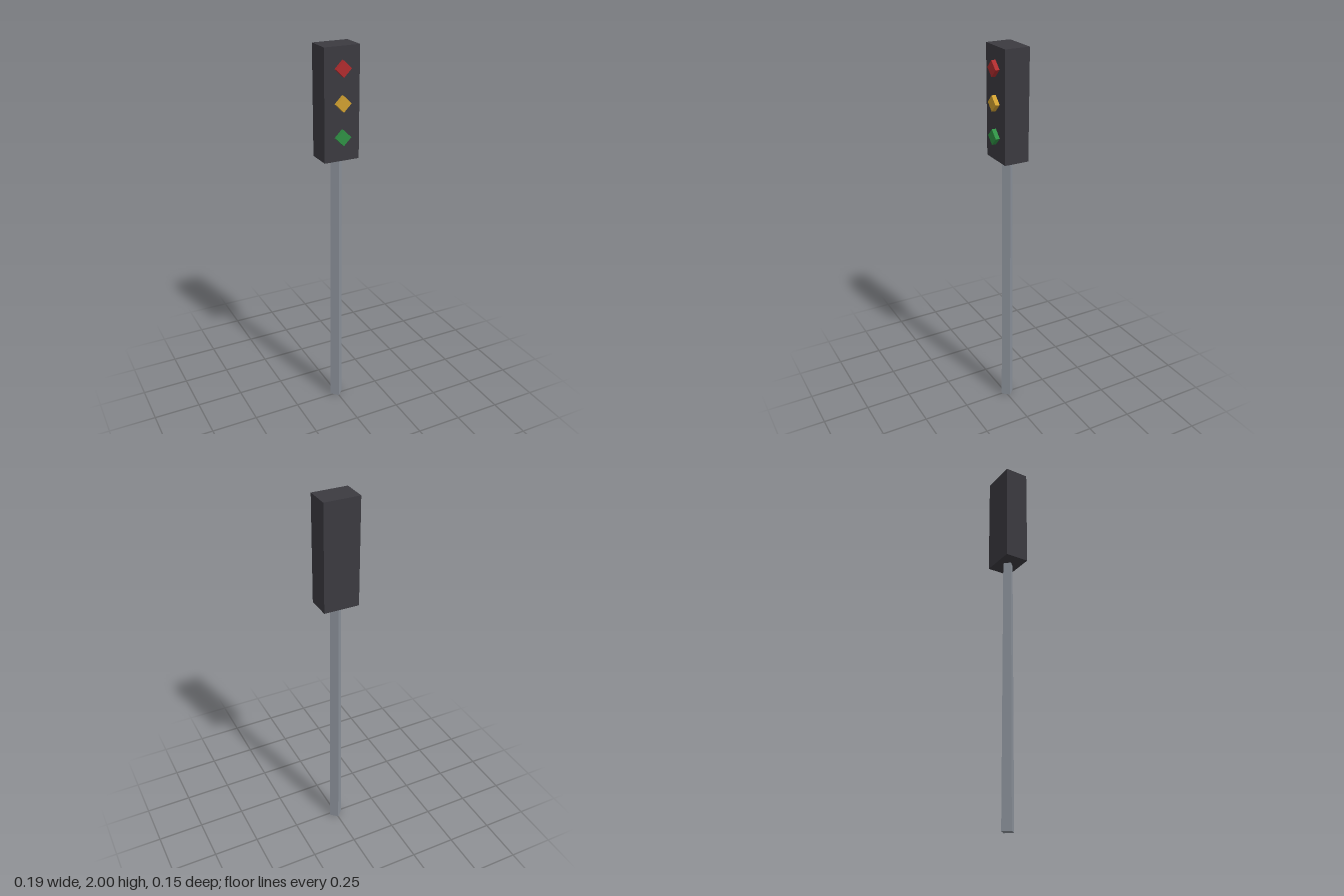
import * as THREE from 'three';

export function createModel() {
  const group = new THREE.Group();
  const paint = (name, color) => {
    const m = new THREE.MeshStandardMaterial({ color, flatShading: true });
    m.name = name;
    return m;
  };
  const add = (name, geometry, material, x, y, z) => {
    const mesh = new THREE.Mesh(geometry, material);
    mesh.name = name;
    mesh.position.set(x, y, z);
    group.add(mesh);
    return mesh;
  };
  const axisZ = -0.011;

  // Four-sided pole, tapering slightly upward, corners on the axes
  add('pole', new THREE.CylinderGeometry(0.03, 0.036, 1.44, 4), paint('steel grey', 0x8c929b), 0, 0.72, axisZ);

  // Signal housing
  add('housing', new THREE.BoxGeometry(0.187, 0.56, 0.13), paint('charcoal', 0x3b3a40), 0, 1.72, -0.012);

  // Diamond lamps standing proud of the front face
  const lamps = [
    ['redLamp', 'red', 0xb02c2e, 1.896],
    ['amberLamp', 'amber', 0xd0a030, 1.729],
    ['greenLamp', 'green', 0x2f9044, 1.562],
  ];
  const lampGeometry = new THREE.CylinderGeometry(0.04, 0.04, 0.03, 4).rotateX(Math.PI / 2);
  for (const [name, colorName, color, y] of lamps) {
    add(name, lampGeometry, paint(colorName, color), 0, y, 0.06);
  }
  return group;
}
